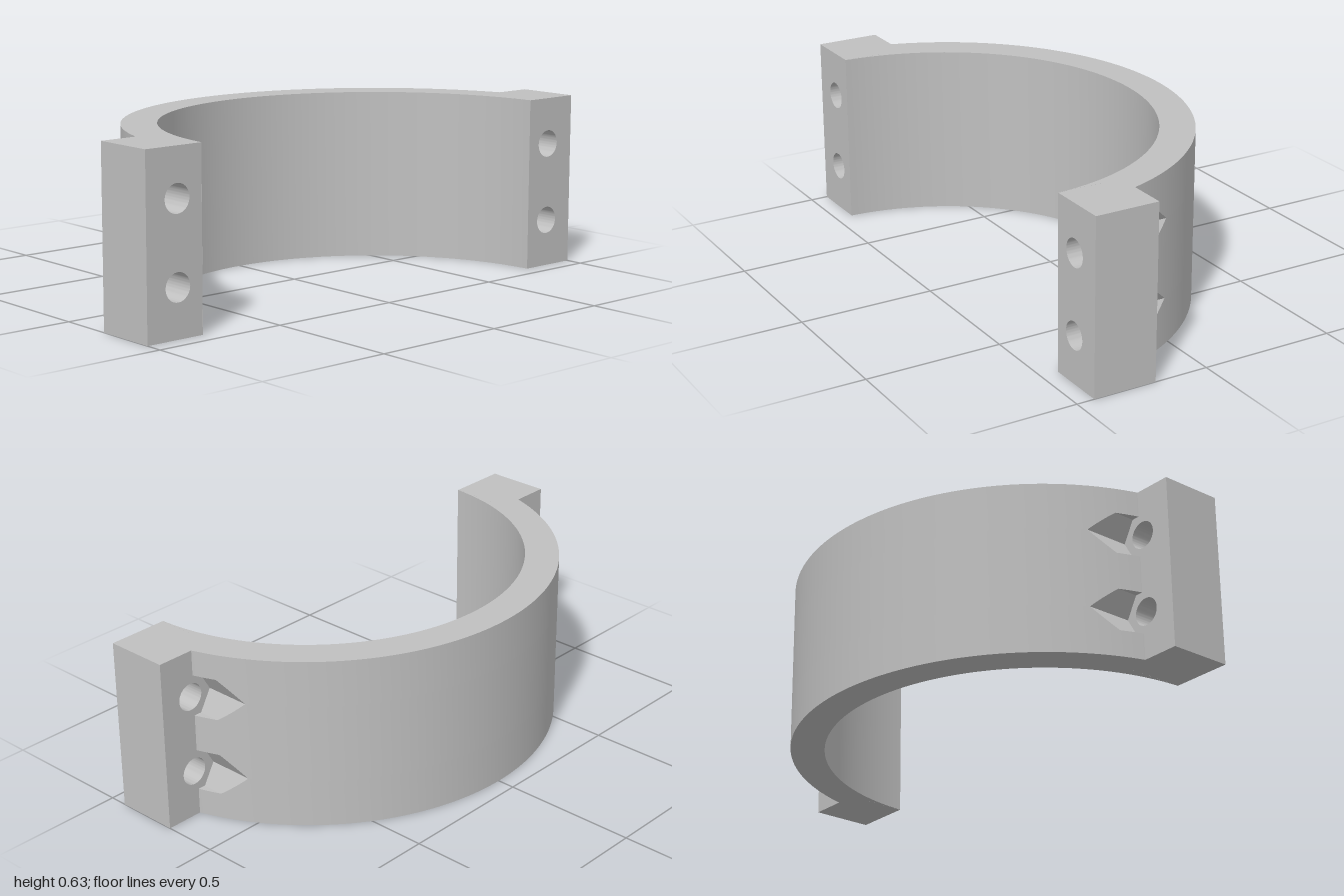
import * as THREE from 'three';
import { mergeGeometries, toCreasedNormals } from 'three/addons/utils/BufferGeometryUtils.js';

const H = 0.634;                 // height of the clamp
const XC = 0.465;                // x of the ring axis
const RI = 0.775, RO = 0.9;      // inner and outer radius
const XB = 0.2, XF = 0.435;      // back and front of the flanges
const BOLT_Z = 0.875, BOLT_R = 0.05, BOLT_Y = [0.173, 0.463];
const HEX = 0.089, FLAT = HEX * Math.sqrt(3) / 2;   // hexagonal nut pocket

// Angles are measured from the back of the ring (-x) towards +z
const onArc = (r, a, y) => [XC - r * Math.cos(a), y, r * Math.sin(a)];
const range = (a, b, n) => Array.from({ length: n + 1 }, (_, i) => a + (b - a) * i / n);

// Half height of the nut pocket at depth z
const pocketHalf = z => Math.min(FLAT, Math.max(0, (Math.abs(z) - BOLT_Z + HEX) * Math.sqrt(3)));

// Smooth surface between two rows of points
function strip(a, b) {
  const n = a.length, index = [];
  for (let i = 0; i < n - 1; i++) index.push(i, i + 1, n + i, i + 1, n + i + 1, n + i);
  const g = new THREE.BufferGeometry();
  g.setAttribute('position', new THREE.Float32BufferAttribute([...a, ...b].flat(), 3));
  g.setIndex(index);
  g.computeVertexNormals();
  return g;
}

export function createModel() {
  const group = new THREE.Group();
  const grey = new THREE.MeshStandardMaterial({ color: 0xc0c0c0, side: THREE.DoubleSide });
  grey.name = 'grey';
  const add = (name, geometry) => {
    const mesh = new THREE.Mesh(geometry, grey);
    mesh.name = name;
    group.add(mesh);
  };

  // Key angles: pocket tip, pocket shoulder, flange, inner end
  const tip = Math.asin((BOLT_Z - HEX) / RO);
  const shoulder = Math.asin((BOLT_Z - HEX / 2) / RO);
  const end = Math.acos((XC - XB) / RO);
  const innerEnd = Math.acos((XC - XF) / RI);

  // Outer wall in bands that leave the pockets open
  const half = [...range(0, tip, 40), ...range(tip, shoulder, 6).slice(1), ...range(shoulder, end, 5).slice(1)];
  const angles = [...half.slice(1).reverse().map(a => -a), ...half];
  const row = (y, sign) => angles.map(a => onArc(RO, a, y + sign * pocketHalf(RO * Math.sin(a))));
  const [y1, y2] = BOLT_Y;
  add('outerWall', mergeGeometries([
    strip(row(0, 0), row(y1, -1)),
    strip(row(y1, 1), row(y2, -1)),
    strip(row(y2, 1), row(H, 0)),
  ]));

  // Inner wall
  const inner = range(-innerEnd, innerEnd, 100);
  add('innerWall', strip(inner.map(a => onArc(RI, a, H)), inner.map(a => onArc(RI, a, 0))));

  // Top and bottom faces of the ring
  const outline = [
    ...angles.map(a => onArc(RO, a, 0)),
    [XB, 0, RI],
    ...inner.slice().reverse().map(a => onArc(RI, a, 0)),
    [XB, 0, -RI],
  ].map(p => new THREE.Vector2(p[0], -p[2]));
  const cap = new THREE.ShapeGeometry(new THREE.Shape(outline));
  add('ringTop', cap.clone().rotateX(-Math.PI / 2).translate(0, H, 0));
  add('ringBottom', cap.clone().rotateX(Math.PI / 2));

  for (const s of [1, -1]) {
    const side = s > 0 ? 'front' : 'back';

    // Flange block with two bolt holes
    const z0 = Math.min(-s * RI, -s), w = 1 - RI;
    const shape = new THREE.Shape([[z0, 0], [z0 + w, 0], [z0 + w, H], [z0, H]].map(p => new THREE.Vector2(...p)));
    for (const y of BOLT_Y) {
      shape.holes.push(new THREE.Path().absarc(-s * BOLT_Z, y, BOLT_R, 0, Math.PI * 2, true));
    }
    const flange = new THREE.ExtrudeGeometry(shape, { depth: XF - XB, bevelEnabled: false, curveSegments: 32 });
    flange.rotateY(Math.PI / 2).translate(XB, 0, 0);
    add(side + 'Flange', toCreasedNormals(flange, 0.6));

    // Sloping and flat walls of the nut pockets
    const walls = [];
    for (const y of BOLT_Y) for (const v of [1, -1]) {
      for (const span of [range(tip, shoulder, 6), range(shoulder, end, 5)]) {
        const edge = span.map(a => onArc(RO, s * a, y + v * pocketHalf(RO * Math.sin(a))));
        const floor = edge.map(p => [XB, p[1], p[2]]);
        walls.push(s * v < 0 ? strip(edge, floor) : strip(floor, edge));
      }
    }
    add(side + 'NutPockets', mergeGeometries(walls));
  }
  return group;
}
